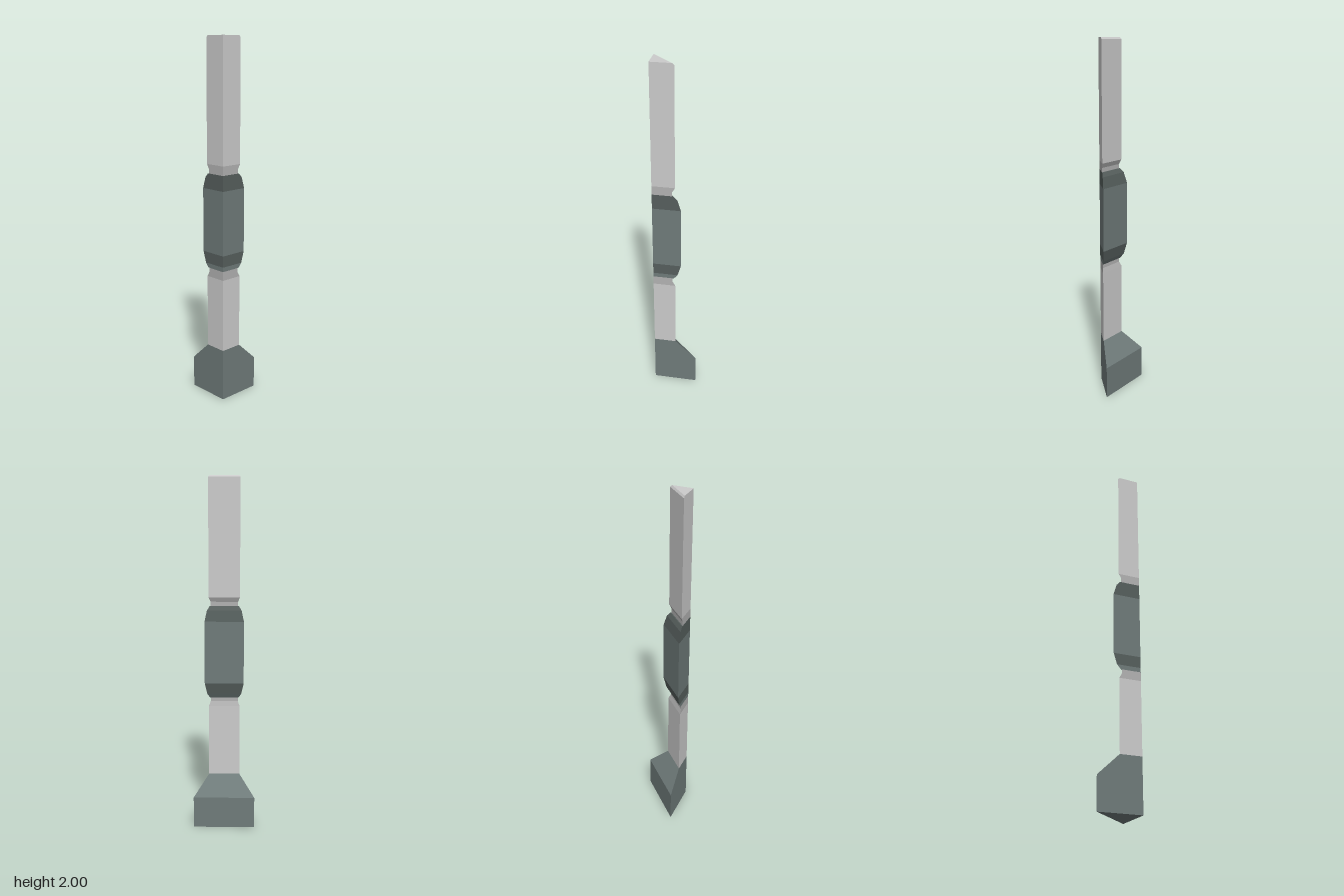
import * as THREE from 'three';

const CORNER = 0.125; // the right-angled edge stands at x = -CORNER, z = CORNER

// Three corners of the right-triangle section with the given leg length
function section([y, leg]) {
  return [
    [-CORNER, y, CORNER],
    [-CORNER + leg, y, CORNER],
    [-CORNER, y, CORNER - leg],
  ];
}

// Capped loft through triangular sections listed as [height, leg length], bottom to top
function triangularLoft(name, color, levels) {
  const rings = levels.map(section);
  const positions = [];
  const tri = (a, b, c) => positions.push(...a, ...b, ...c);
  for (let k = 0; k < rings.length - 1; k++) {
    const lo = rings[k], hi = rings[k + 1];
    for (let i = 0; i < 3; i++) {
      const j = (i + 1) % 3;
      tri(lo[i], lo[j], hi[j]);
      tri(lo[i], hi[j], hi[i]);
    }
  }
  const bottom = rings[0], top = rings[rings.length - 1];
  tri(bottom[0], bottom[2], bottom[1]);
  tri(top[0], top[1], top[2]);

  const geometry = new THREE.BufferGeometry();
  geometry.setAttribute('position', new THREE.Float32BufferAttribute(positions, 3));
  geometry.computeVertexNormals();
  const material = new THREE.MeshStandardMaterial({ color, flatShading: true });
  const mesh = new THREE.Mesh(geometry, material);
  mesh.name = name;
  return mesh;
}

export function createModel() {
  const group = new THREE.Group();
  group.name = 'triangularPost';

  const pale = 0xcccccc, neck = 0xb2b2b2, slate = 0x6f7b7a, dark = 0x565f5d;

  group.add(
    // Wide foot with a sloped shoulder
    triangularLoft('foot', slate, [[0, 0.248], [0.18, 0.248], [0.295, 0.125]]),
    // Lower shaft and the groove above it
    triangularLoft('lowerShaft', pale, [[0.295, 0.125], [0.705, 0.125]]),
    triangularLoft('lowerNeck', neck, [[0.705, 0.125], [0.732, 0.11], [0.755, 0.11]]),
    // Swollen collar with tapered ends
    triangularLoft('collarBase', slate, [[0.755, 0.117], [0.78, 0.138]]),
    triangularLoft('collarLowerTaper', dark, [[0.78, 0.138], [0.843, 0.157]]),
    triangularLoft('collar', slate, [[0.843, 0.157], [1.198, 0.157]]),
    triangularLoft('collarUpperTaper', dark, [[1.198, 0.157], [1.26, 0.138], [1.283, 0.117]]),
    // Upper groove and the shaft with a slightly bevelled top
    triangularLoft('upperNeck', neck, [[1.283, 0.11], [1.307, 0.11], [1.333, 0.125]]),
    triangularLoft('upperShaft', pale, [[1.333, 0.125], [1.99, 0.125], [2, 0.115]]),
  );
  return group;
}
